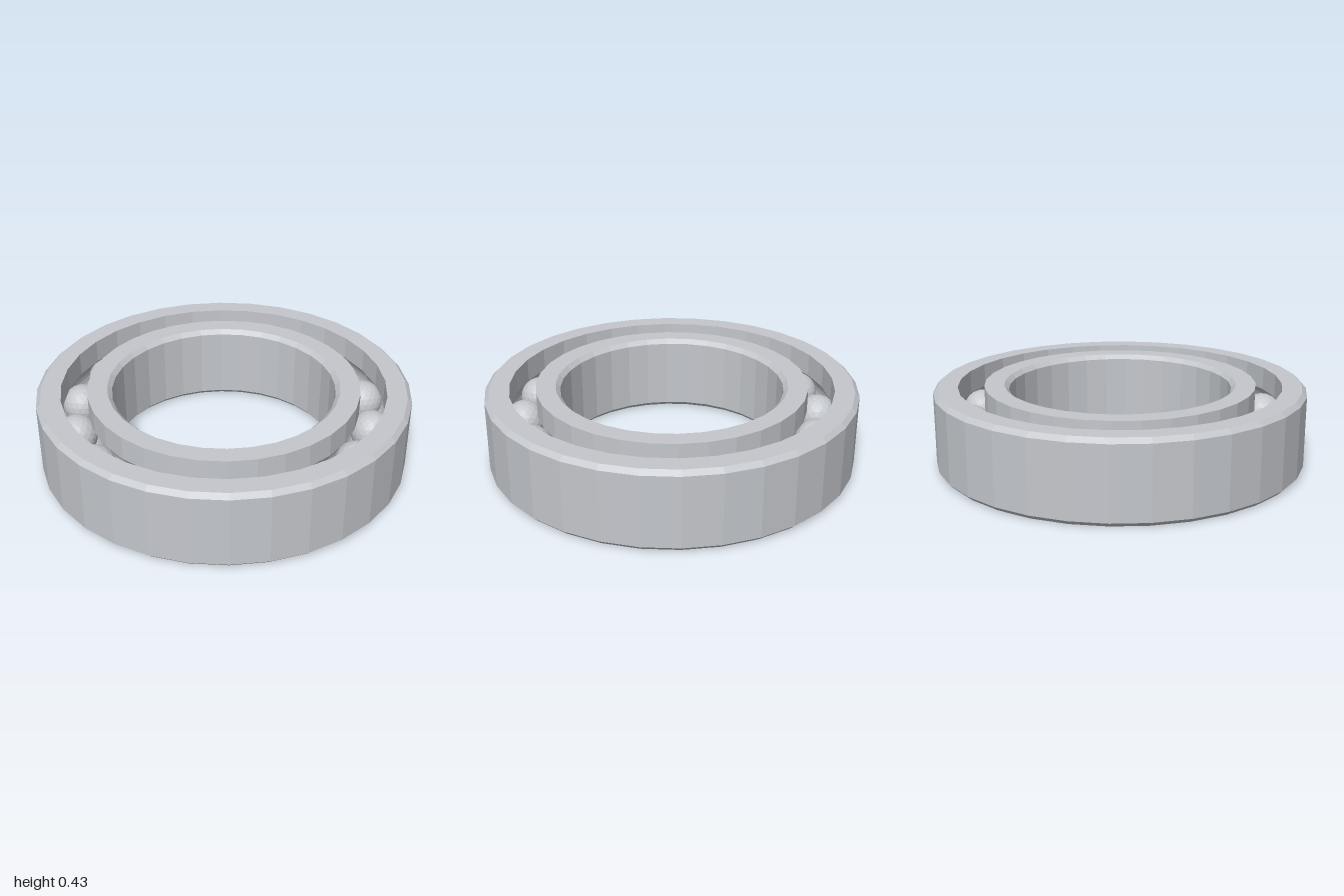
import * as THREE from 'three';

const HEIGHT = 0.43, MID = HEIGHT / 2, CHAMFER = 0.024;
const BALLS = 16, BALL_RADIUS = 0.11, PITCH = 0.8, GROOVE = 0.113;
const SIDES = 32;

// Faceted normals for a crisp low-poly finish
function faceted(geometry) {
  const g = geometry.index ? geometry.toNonIndexed() : geometry;
  g.computeVertexNormals();
  return g;
}

// Points of the ball groove cut into a wall of the given radius, listed upward
function groove(wall) {
  const side = Math.sign(wall - PITCH);
  const half = Math.acos(Math.abs(wall - PITCH) / GROOVE);
  const points = [];
  for (let i = 0; i <= 8; i++) {
    const a = -half + (2 * half * i) / 8;
    points.push([PITCH + side * GROOVE * Math.cos(a), MID + GROOVE * Math.sin(a)]);
  }
  return points;
}

// Closed cross-section spun into a ring
function ring(name, profile, material) {
  const points = [...profile, profile[0]].map(([r, y]) => new THREE.Vector2(r, y));
  const mesh = new THREE.Mesh(faceted(new THREE.LatheGeometry(points, SIDES)), material);
  mesh.name = name;
  return mesh;
}

export function createModel() {
  const steel = new THREE.MeshStandardMaterial({ color: 0xc4c7cc });
  steel.name = 'steel';

  const bearing = new THREE.Group();
  bearing.name = 'ballBearing';

  // Outer race: chamfered outside, grooved inside
  const outer = 1, outerWall = 0.87;
  bearing.add(ring('outerRace', [
    [outer - CHAMFER, 0], [outer, CHAMFER],
    [outer, HEIGHT - CHAMFER], [outer - CHAMFER, HEIGHT],
    [outerWall, HEIGHT], ...groove(outerWall).reverse(), [outerWall, 0],
  ], steel));

  // Inner race: grooved outside, chamfered bore
  const bore = 0.6, innerWall = 0.73;
  bearing.add(ring('innerRace', [
    [innerWall, 0], ...groove(innerWall), [innerWall, HEIGHT],
    [bore + CHAMFER, HEIGHT], [bore, HEIGHT - CHAMFER],
    [bore, CHAMFER], [bore + CHAMFER, 0],
  ], steel));

  // Balls evenly spaced between the races
  const balls = new THREE.Group();
  balls.name = 'balls';
  const ballGeometry = faceted(new THREE.IcosahedronGeometry(BALL_RADIUS, 3));
  for (let i = 0; i < BALLS; i++) {
    const a = (i / BALLS) * Math.PI * 2;
    const ball = new THREE.Mesh(ballGeometry, steel);
    ball.name = 'ball';
    ball.position.set(PITCH * Math.sin(a), MID, PITCH * Math.cos(a));
    ball.rotation.y = a;
    balls.add(ball);
  }
  bearing.add(balls);

  return bearing;
}
